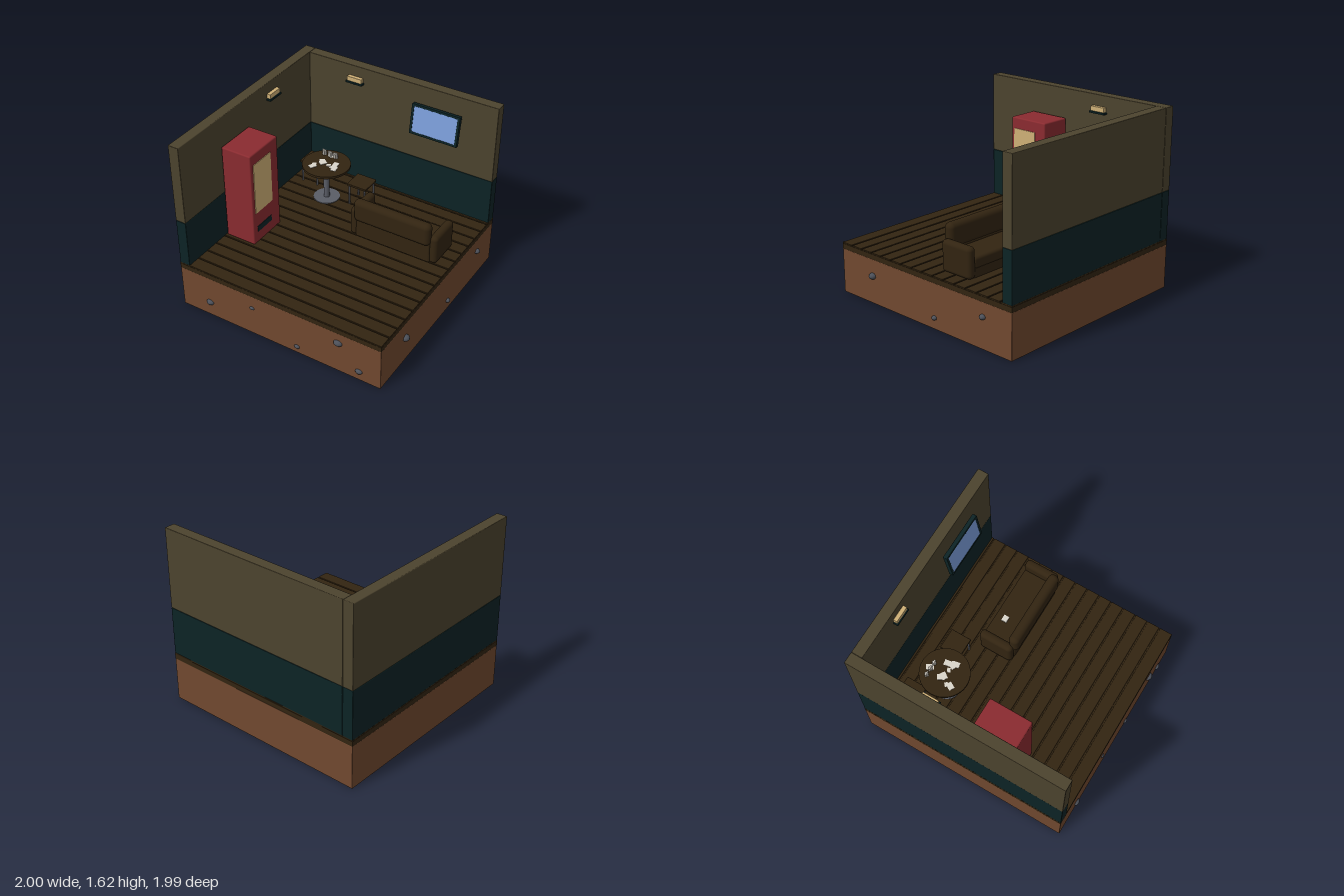
import * as THREE from 'three';
import { RoundedBoxGeometry } from 'three/addons/geometries/RoundedBoxGeometry.js';

function mat(name, color) {
  const m = new THREE.MeshStandardMaterial({ color });
  m.name = name;
  return m;
}

export function createModel() {
  const M = {
    soil: mat('soil brown', 0x70482f),
    wood: mat('dark wood', 0x322411),
    plaster: mat('olive plaster', 0x4c432e),
    teal: mat('dark teal', 0x0c2325),
    red: mat('machine red', 0x8a2b30),
    cream: mat('warm cream', 0xcfb076),
    blue: mat('screen blue', 0x7a9cd8),
    metal: mat('grey metal', 0x5a5d66),
    stone: mat('stone grey', 0x4c5059),
    paper: mat('paper white', 0xdad5cb),
  };
  const root = new THREE.Group();
  root.name = 'loungeRoom';

  const add = (parent, name, geo, material, x = 0, y = 0, z = 0) => {
    const mesh = new THREE.Mesh(geo, material);
    mesh.name = name;
    mesh.position.set(x, y, z);
    parent.add(mesh);
    return mesh;
  };
  const group = (name, x = 0, y = 0, z = 0) => {
    const g = new THREE.Group();
    g.name = name;
    g.position.set(x, y, z);
    root.add(g);
    return g;
  };
  // Box from min/max bounds, rounded when r > 0
  const box = (parent, name, material, x0, x1, y0, y1, z0, z1, r = 0, seg = 1) => {
    const s = [x1 - x0, y1 - y0, z1 - z0];
    const geo = r ? new RoundedBoxGeometry(...s, seg, r) : new THREE.BoxGeometry(...s);
    return add(parent, name, geo, material, (x0 + x1) / 2, (y0 + y1) / 2, (z0 + z1) / 2);
  };
  const LO = -1, HI = 0.96, IN = -0.9, FLOOR = 0.455;

  // Ground block with embedded stones
  box(root, 'soilBlock', M.soil, LO, HI, 0, 0.397, LO, HI, 0.004);
  const stones = group('stones');
  const stoneGeo = new THREE.SphereGeometry(1, 14, 10);
  for (const [x, y, r] of [[-0.71, 0.14, 0.038], [-0.27, 0.275, 0.025], [0.17, 0.065, 0.028],
    [0.565, 0.3, 0.042], [0.76, 0.09, 0.034]])
    add(stones, 'frontStone', stoneGeo, M.stone, x, y, HI - 0.005).scale.set(r, r * 0.7, r * 0.8);
  for (const [z, y, r] of [[0.575, 0.25, 0.035], [-0.165, 0.1, 0.024], [-0.7, 0.275, 0.028]])
    add(stones, 'sideStone', stoneGeo, M.stone, HI, y, z).scale.set(r * 1.1, r * 0.8, r);

  // Floor slab and planks
  box(root, 'floorSlab', M.wood, LO, HI, 0.397, 0.442, LO, HI);
  const planks = group('floorPlanks');
  const step = (HI - LO) / 16;
  for (let i = 0; i < 16; i++) {
    const z = LO + i * step;
    box(planks, 'plank', M.wood, LO, HI, 0.442, FLOOR, z + (i ? 0.006 : 0), z + step - (i < 15 ? 0.006 : 0), 0.003);
  }

  // Two walls, each with a wainscot below and plaster above
  for (const [name, x0, x1, z0, z1] of [['leftWall', LO, IN, LO, HI], ['backWall', IN, HI, LO, IN]]) {
    const wall = group(name);
    box(wall, name + 'Lower', M.teal, x0, x1, 0.45, 0.89, z0, z1, 0.006);
    box(wall, name + 'Upper', M.plaster, x0, x1, 0.89, 1.62, z0, z1, 0.006);
  }

  // Wall lamps, built facing +z
  const lamp = (x, z, turn) => {
    const g = group('wallLamp', x, 0, z);
    g.rotation.y = turn;
    box(g, 'lampBase', M.teal, -0.083, 0.083, 1.458, 1.476, 0, 0.045, 0.004);
    box(g, 'lampShade', M.cream, -0.073, 0.073, 1.476, 1.52, 0, 0.037, 0.004);
  };
  lamp(-0.412, IN, 0);
  lamp(IN, -0.307, Math.PI / 2);

  // Tilted television on a wall bracket
  box(root, 'screenBracket', M.metal, 0.39, 0.44, 1.31, 1.345, IN, -0.84);
  const tv = group('television', 0.42, 1.33, -0.83);
  tv.rotation.x = -0.15;
  box(tv, 'screenFrame', M.teal, -0.23, 0.23, -0.14, 0.14, -0.021, 0.015, 0.008);
  for (const s of [-1, 1]) {
    box(tv, 'frameSide', M.teal, s * 0.218 - 0.012, s * 0.218 + 0.012, -0.14, 0.14, 0, 0.021, 0.004);
    box(tv, 'frameRail', M.teal, -0.23, 0.23, s * 0.129 - 0.011, s * 0.129 + 0.011, 0, 0.021, 0.004);
  }
  box(tv, 'screen', M.blue, -0.207, 0.207, -0.119, 0.119, 0.013, 0.018);

  // Vending machine facing +x
  const vend = group('vendingMachine');
  box(vend, 'machineBody', M.red, -0.89, -0.6, FLOOR, 1.355, 0.057, 0.445, 0.012, 2);
  box(vend, 'displayWindow', M.cream, -0.601, -0.594, 0.765, 1.255, 0.167, 0.41);
  box(vend, 'deliverySlot', M.teal, -0.601, -0.595, 0.565, 0.62, 0.19, 0.39);

  // Sofa facing the back wall
  const sofa = group('sofa');
  box(sofa, 'sofaBase', M.wood, 0.06, 0.785, FLOOR, 0.55, -0.435, -0.13, 0.015, 3);
  box(sofa, 'seatCushion', M.wood, 0.065, 0.78, 0.53, 0.63, -0.44, -0.13, 0.025, 4);
  box(sofa, 'sofaBackPanel', M.wood, 0.065, 0.78, FLOOR, 0.65, -0.18, -0.127, 0.015, 3);
  box(sofa, 'backrest', M.wood, 0.05, 0.785, 0.63, 0.845, -0.187, -0.093, 0.045, 5);
  for (const x of [0, 0.765])
    box(sofa, 'armrest', M.wood, x, x + 0.08, FLOOR, 0.727, -0.447, -0.13, 0.036, 5);
  box(sofa, 'paperOnSofa', M.paper, 0.243, 0.3, 0.63, 0.642, -0.368, -0.318);

  // Round pedestal table
  const table = group('roundTable', -0.465, 0, -0.49);
  add(table, 'tableTop', new THREE.CylinderGeometry(0.218, 0.218, 0.022, 40), M.wood, 0, 0.803);
  add(table, 'tablePedestal', new THREE.CylinderGeometry(0.027, 0.027, 0.34, 20), M.metal, 0, 0.625);
  add(table, 'tableFoot', new THREE.CylinderGeometry(0.12, 0.12, 0.008, 32), M.metal, 0, FLOOR + 0.003);

  // Standing tiles and scattered cards on the table
  const items = group('tableItems');
  for (const x of [-0.56, -0.5, -0.443]) {
    box(items, 'standingTile', M.paper, x - 0.02, x + 0.02, 0.814, 0.865, -0.612, -0.6);
    box(items, 'tileStand', M.paper, x - 0.007, x + 0.007, 0.814, 0.855, -0.622, -0.59);
  }
  const cards = [[-0.485, -0.622, 0.6], [-0.515, -0.495, 0.5], [-0.495, -0.48, -0.6], [-0.43, -0.47, 0.45],
    [-0.382, -0.51, 0.15], [-0.378, -0.465, -0.45], [-0.358, -0.445, 0.2], [-0.545, -0.385, -0.5], [-0.55, -0.42, 0.7]];
  cards.forEach(([x, z, turn], i) => {
    const small = i === 3 || i === 8;
    const geo = new THREE.BoxGeometry(small ? 0.04 : 0.05, 0.004, small ? 0.03 : 0.065);
    add(items, 'card', geo, M.paper, x, 0.8165 + i * 0.0004, z).rotation.y = turn;
  });

  // Two square stools
  for (const [x, z] of [[-0.155, -0.585], [-0.717, -0.678]]) {
    const stool = group('stool', x, 0, z);
    box(stool, 'stoolSeat', M.wood, -0.097, 0.097, 0.653, 0.675, -0.097, 0.097, 0.006, 2);
    for (const sx of [-1, 1]) for (const sz of [-1, 1])
      add(stool, 'stoolLeg', new THREE.CylinderGeometry(0.009, 0.009, 0.2, 10), M.metal, sx * 0.078, 0.555, sz * 0.078);
  }
  return root;
}
